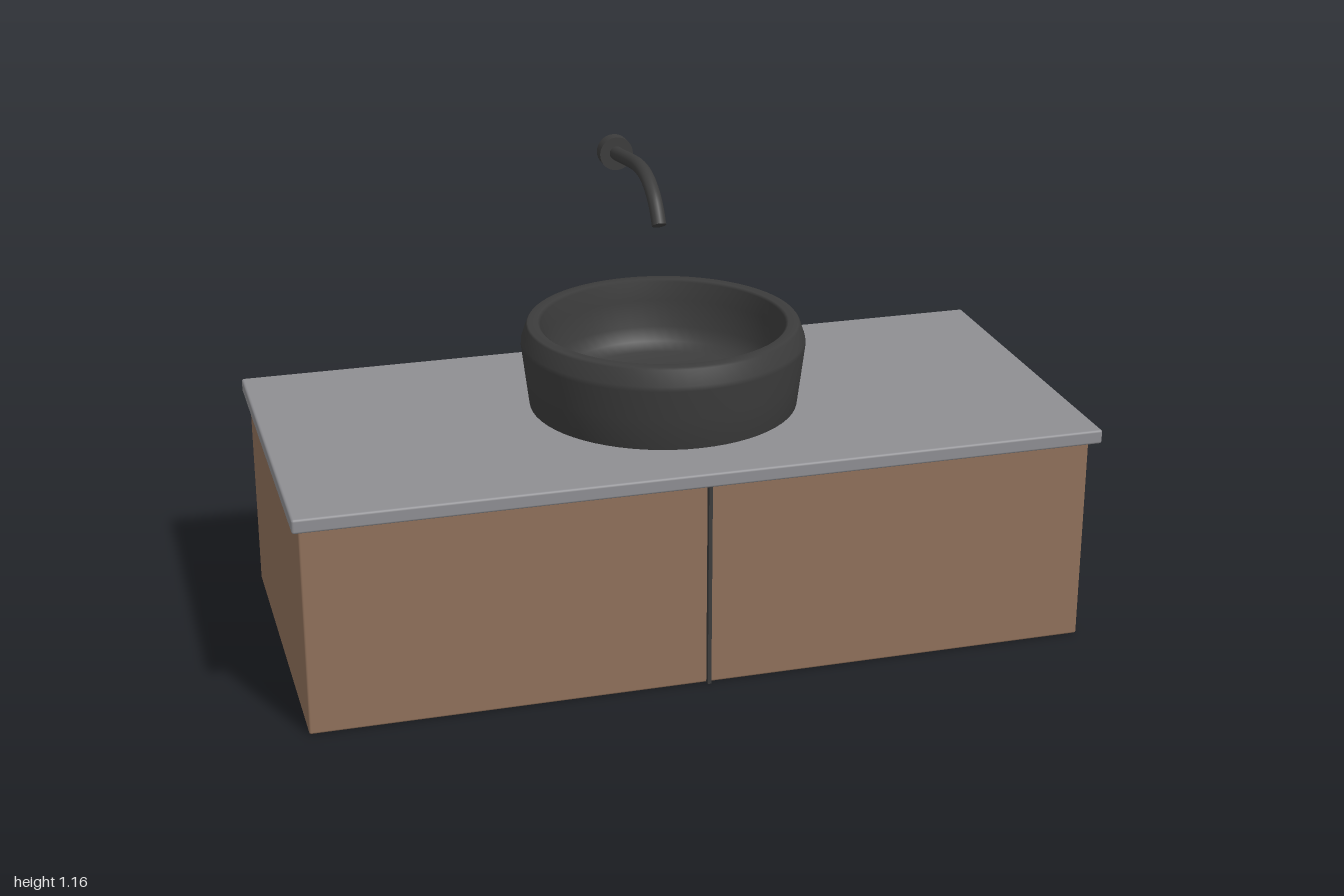
import * as THREE from 'three';
import { RoundedBoxGeometry } from 'three/addons/geometries/RoundedBoxGeometry.js';

const wood = new THREE.MeshStandardMaterial({ color: 0x8f705a });
const stone = new THREE.MeshStandardMaterial({ color: 0x8e8e92 });
const black = new THREE.MeshStandardMaterial({ color: 0x3c3c3c });

export function createModel() {
  const model = new THREE.Group();
  const add = (name, geometry, material, x = 0, y = 0, z = 0) => {
    const mesh = new THREE.Mesh(geometry, material);
    mesh.name = name;
    mesh.position.set(x, y, z);
    model.add(mesh);
    return mesh;
  };

  // Cabinet, the dark divider between its two fronts, and the worktop
  add('cabinet', new RoundedBoxGeometry(1.964, 0.537, 0.89, 2, 0.005), wood, 0, 0.2685, -0.017);
  add('frontDivider', new THREE.BoxGeometry(0.009, 0.535, 0.02), black, 0, 0.2695, 0.432);
  add('worktop', new RoundedBoxGeometry(2, 0.036, 0.928, 2, 0.006), stone, 0, 0.555, 0.001);

  // Round basin: outside up, over the rim, then down the hollow inside
  const profile = [
    [0, 0.573], [0.21, 0.573], [0.225, 0.574], [0.325, 0.59], [0.336, 0.594],
    [0.346, 0.675], [0.355, 0.75], [0.354, 0.762], [0.341, 0.8], [0.337, 0.805],
    [0.312, 0.805], [0.305, 0.8], [0.304, 0.75], [0.296, 0.68],
    [0.28, 0.645], [0.25, 0.627], [0.2, 0.617], [0.1, 0.611], [0, 0.61],
  ].map(([r, y]) => new THREE.Vector2(r, y));
  add('basin', new THREE.LatheGeometry(profile, 64), black, 0, 0, 0.019);

  // Wall spout: curved pipe, end cap and round wall plate
  const path = new THREE.CatmullRomCurve3([
    [1.108, -0.45], [1.113, -0.4], [1.125, -0.32], [1.138, -0.2],
    [1.129, -0.125], [1.098, -0.065], [1.072, -0.039], [1.039, -0.017],
  ].map(([y, z]) => new THREE.Vector3(0, y, z)));
  add('spout', new THREE.TubeGeometry(path, 48, 0.018, 20), black);
  const tip = path.getPoint(1);
  const cap = add('spoutTip', new THREE.CircleGeometry(0.018, 20), black, tip.x, tip.y, tip.z);
  cap.lookAt(tip.clone().add(path.getTangent(1)));
  const plate = new THREE.CylinderGeometry(0.044, 0.044, 0.034, 32).rotateX(Math.PI / 2);
  add('wallPlate', plate, black, 0, 1.108, -0.446);

  return model;
}
